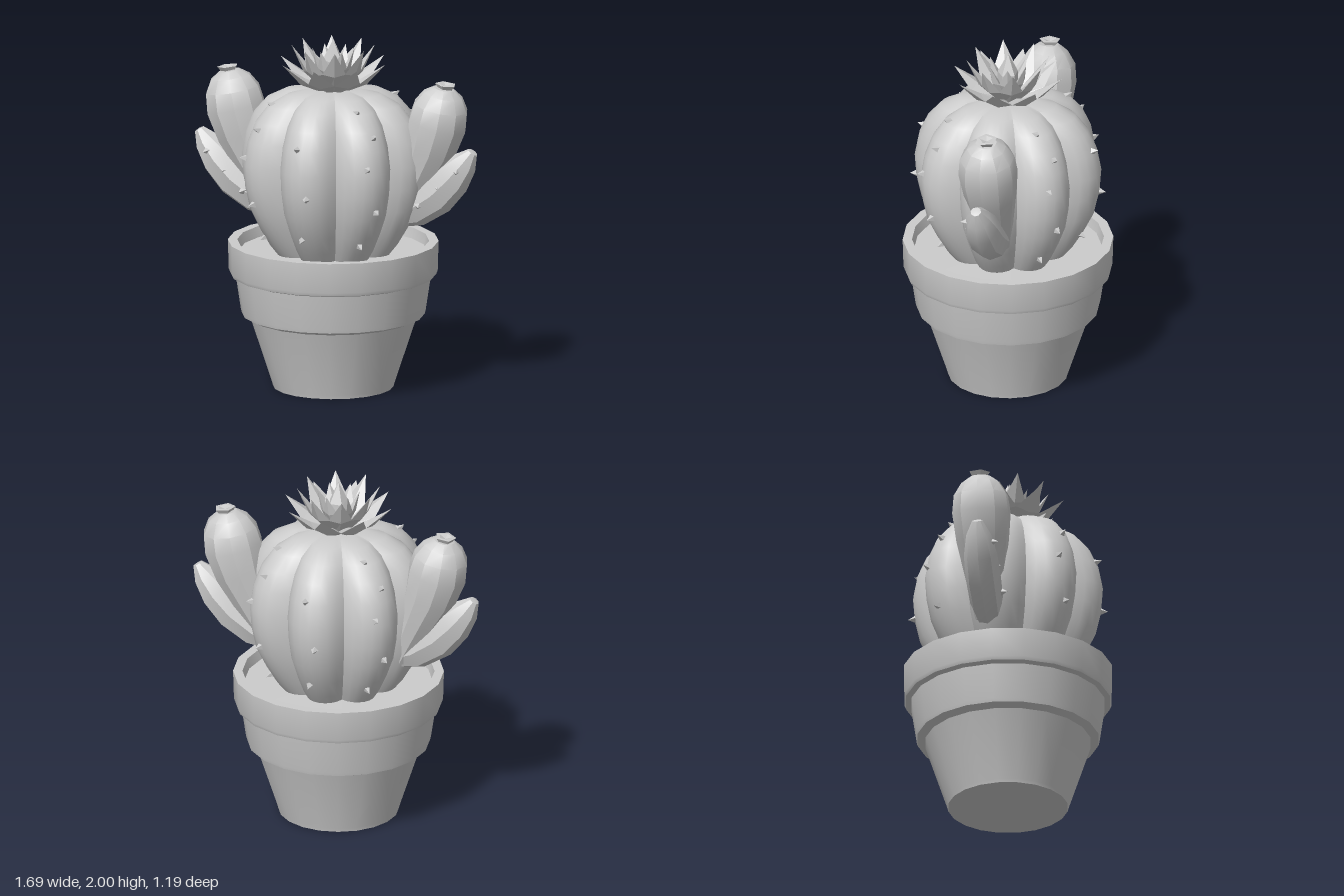
import * as THREE from 'three';
import { toCreasedNormals } from 'three/addons/utils/BufferGeometryUtils.js';

const grey = new THREE.MeshStandardMaterial({ color: 0xcccccc });
const flatGrey = new THREE.MeshStandardMaterial({ color: 0xcccccc, flatShading: true });

function addMesh(parent, name, geometry, material = grey) {
  const mesh = new THREE.Mesh(geometry, material);
  mesh.name = name;
  parent.add(mesh);
  return mesh;
}

function lathe(profile, segments) {
  return new THREE.LatheGeometry(profile.map(([r, y]) => new THREE.Vector2(r, y)), segments);
}

// Elliptical rings along a path in the xy plane; each station is [x, y, halfInPlane, halfInZ]
function loft(stations, sides, z = 0) {
  const pos = [], index = [];
  stations.forEach(([x, y, a, b], i) => {
    const p = stations[Math.max(i - 1, 0)], q = stations[Math.min(i + 1, stations.length - 1)];
    const t = new THREE.Vector2(q[0] - p[0], q[1] - p[1]).normalize();
    for (let j = 0; j < sides; j++) {
      const ang = (j / sides) * Math.PI * 2;
      pos.push(x + t.y * a * Math.cos(ang), y - t.x * a * Math.cos(ang), z + b * Math.sin(ang));
      if (i === stations.length - 1) continue;
      const k = (j + 1) % sides, r = i * sides, s = r + sides;
      index.push(r + j, s + j, r + k, s + j, s + k, r + k);
    }
  });
  const g = new THREE.BufferGeometry();
  g.setAttribute('position', new THREE.Float32BufferAttribute(pos, 3));
  g.setIndex(index);
  g.computeVertexNormals();
  return g;
}

// Small four-sided thorn pointing along a direction
function addSpine(parent, position, direction, size = 1) {
  const spine = addMesh(parent, 'spine', new THREE.ConeGeometry(0.032 * size, 0.06 * size, 4), flatGrey);
  spine.position.copy(position);
  spine.quaternion.setFromUnitVectors(new THREE.Vector3(0, 1, 0), direction.clone().normalize());
}

// Ridge outline of the round body, bottom to top
const ridge = [[0.3, 0.74], [0.38, 0.84], [0.44, 0.94], [0.5, 1.06], [0.53, 1.19], [0.54, 1.32],
  [0.515, 1.45], [0.465, 1.56], [0.39, 1.645], [0.28, 1.7], [0.15, 1.72], [0, 1.7]];

function ridgeRadius(y) {
  const i = ridge.findIndex((p) => p[1] >= y);
  const [r0, y0] = ridge[i - 1], [r1, y1] = ridge[i];
  return THREE.MathUtils.mapLinear(y, y0, y1, r0, r1);
}

function createBody() {
  const group = new THREE.Group();
  group.name = 'cactusBody';
  // Eight rounded ribs with sharp valleys
  const g = lathe(ridge, 64), p = g.attributes.position;
  for (let i = 0; i < p.count; i++) {
    const x = p.getX(i), z = p.getZ(i);
    const lobe = Math.abs(Math.cos(4 * Math.atan2(x, z)));
    const f = 0.81 + 0.19 * Math.pow(lobe, 0.85);
    p.setX(i, x * f);
    p.setZ(i, z * f);
  }
  addMesh(group, 'ribbedBody', toCreasedNormals(g, 0.6));

  // Spines along the ribs
  for (let rib = 0; rib < 8; rib++) {
    const heights = rib % 2 ? [0.89, 1.1, 1.36, 1.53, 1.655] : [0.93, 1.19, 1.47];
    if (rib === 2 || rib === 6) continue;
    heights.forEach((y, i) => {
      const ang = rib * Math.PI / 4 + (i % 2 ? 0.06 : -0.06);
      const r = ridgeRadius(y) + 0.005;
      const dir = new THREE.Vector3(Math.sin(ang), (y - 1.25) * 1.4, Math.cos(ang));
      addSpine(group, new THREE.Vector3(Math.sin(ang) * r, y, Math.cos(ang) * r), dir);
    });
  }
  return group;
}

function createArm(side) {
  const group = new THREE.Group();
  group.name = side > 0 ? 'leftArm' : 'rightArm';
  const mirror = (list) => list.map(([x, y, a, b]) => [x * side, y, a, b]);

  // Tall rounded branch
  const upper = [[0.36, 0.98, 0, 0], [0.38, 1.0, 0.07, 0.07], [0.47, 1.2, 0.11, 0.11], [0.56, 1.4, 0.15, 0.15],
    [0.605, 1.55, 0.17, 0.167], [0.625, 1.65, 0.157, 0.155], [0.638, 1.72, 0.115, 0.11],
    [0.645, 1.757, 0.06, 0.06], [0.646, 1.76, 0, 0]];
  addMesh(group, 'upperBranch', toCreasedNormals(loft(mirror(upper), 10, -0.055), 0.55));

  // Flat five-sided bud with a hollow middle
  const bud = addMesh(group, 'bud', lathe([[0, 0], [0.04, 0], [0.062, 0.03], [0.04, 0.032], [0, 0.018]], 5), flatGrey);
  bud.position.set(0.65 * side, 1.75, -0.06);
  bud.rotation.z = -0.12 * side;

  // Short lower branch
  const lower = [[0.33, 1.0, 0, 0], [0.35, 1.01, 0.08, 0.07], [0.47, 1.06, 0.115, 0.095], [0.6, 1.15, 0.125, 0.1],
    [0.7, 1.25, 0.11, 0.095], [0.775, 1.34, 0.075, 0.07], [0.82, 1.405, 0.03, 0.03], [0.822, 1.41, 0, 0]];
  addMesh(group, 'lowerBranch', toCreasedNormals(loft(mirror(lower), 8, -0.045), 0.6));

  // Spines on the lower branch
  [[0.75, 1.3, 0.035, 1], [0.64, 1.2, 0.05, 0.5], [0.53, 1.09, 0.055, 1]].forEach(([x, y, z, size]) =>
    addSpine(group, new THREE.Vector3(x * side, y, z), new THREE.Vector3(0.3 * side, -0.1, 1), size));
  addSpine(group, new THREE.Vector3(0.805 * side, 1.33, -0.05), new THREE.Vector3(side, -0.5, 0), 0.7);
  return group;
}

function createFlower() {
  const group = new THREE.Group();
  group.name = 'flower';
  // Rings of pointed petals: [name, count, turn, stations of a petal pointing along +x]
  const rings = [
    ['outerPetal', 8, 0, [[0.02, 1.7, 0.02, 0.03], [0.19, 1.775, 0.022, 0.078], [0.315, 1.88, 0, 0]]],
    ['middlePetal', 8, Math.PI / 8, [[0.02, 1.7, 0.02, 0.03], [0.15, 1.83, 0.022, 0.066], [0.235, 1.97, 0, 0]]],
    ['innerPetal', 6, 0.25, [[0.01, 1.7, 0.02, 0.03], [0.08, 1.84, 0.02, 0.05], [0.12, 1.95, 0, 0]]],
  ];
  for (const [name, count, turn, stations] of rings) {
    const petal = loft(stations, 4);
    for (let i = 0; i < count; i++) {
      addMesh(group, name, petal, flatGrey).rotation.y = turn + (i / count) * Math.PI * 2;
    }
  }
  // Pointed centre
  addMesh(group, 'flowerCentre', lathe([[0, 1.7], [0.06, 1.72], [0.06, 1.88], [0, 2.0]], 5), flatGrey);
  return group;
}

export function createModel() {
  const model = new THREE.Group();
  model.name = 'pottedCactus';

  // Three-tier pot with a rim and a recessed inside
  const pot = [[0, 0], [0.34, 0], [0.345, 0.02], [0.47, 0.4], [0.515, 0.42], [0.52, 0.44], [0.55, 0.64],
    [0.58, 0.65], [0.588, 0.67], [0.593, 0.84], [0.54, 0.84], [0.525, 0.76]];
  addMesh(model, 'pot', toCreasedNormals(lathe(pot, 20), 0.5));
  addMesh(model, 'soil', lathe([[0.53, 0.78], [0, 0.785]], 20));

  model.add(createBody(), createArm(1), createArm(-1), createFlower());
  return model;
}
